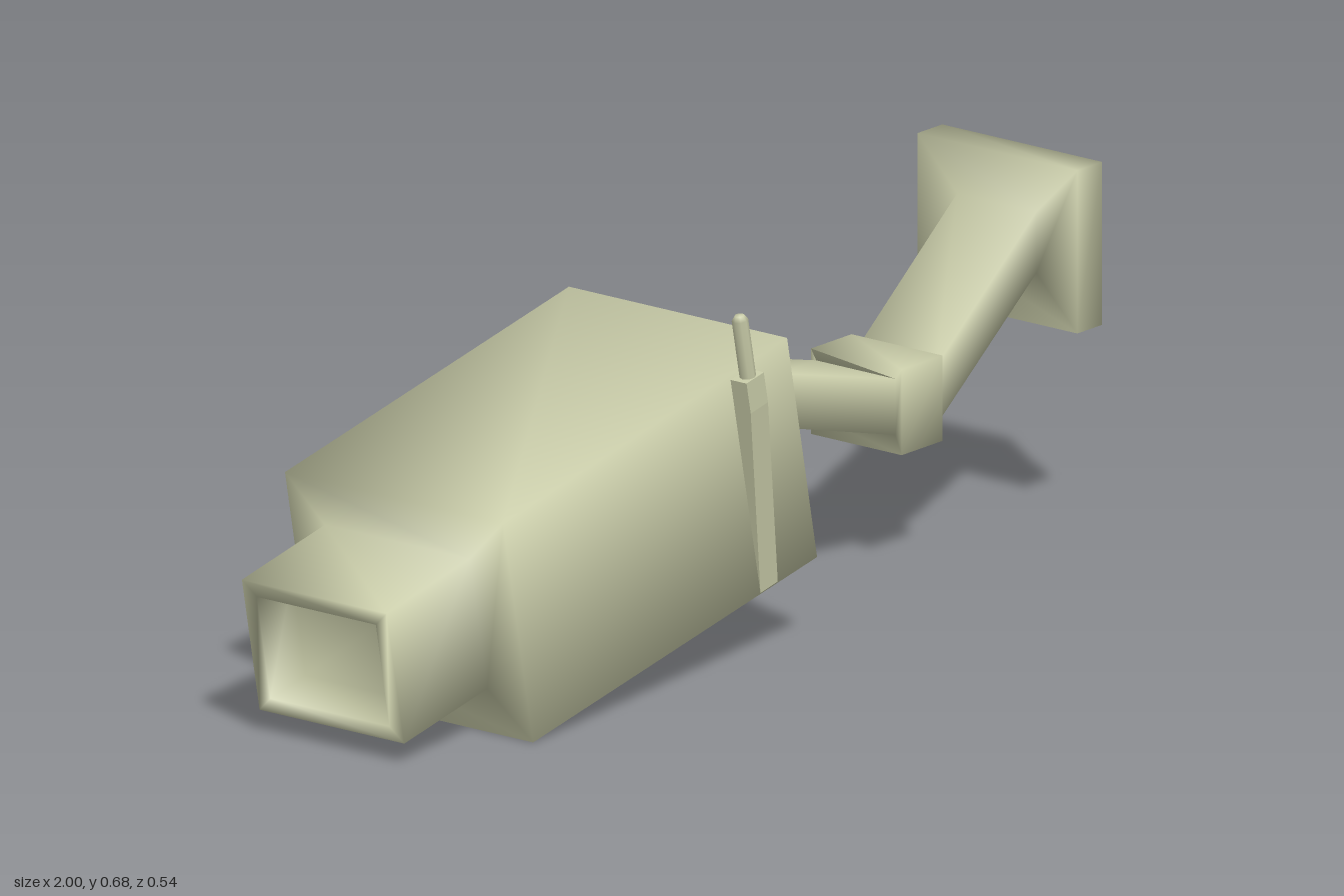
import * as THREE from 'three';

const material = new THREE.MeshStandardMaterial({ color: 0xc8cba8 });

// Four-cornered cross-section: top point, bottom point, back z, front z
const section = (tx, ty, bx, by, z0, z1) => [[tx, ty, z1], [tx, ty, z0], [bx, by, z0], [bx, by, z1]];

// Smooth-shaded skin through consecutive cross-sections, capped at both ends
function loft(name, sections) {
  const index = [0, 1, 2, 0, 2, 3];
  for (let i = 0; i < sections.length - 1; i++) {
    for (let j = 0; j < 4; j++) {
      const a = i * 4 + j, b = i * 4 + (j + 1) % 4;
      index.push(a, a + 4, b + 4, a, b + 4, b);
    }
  }
  const e = (sections.length - 1) * 4;
  index.push(e, e + 2, e + 1, e, e + 3, e + 2);
  const geometry = new THREE.BufferGeometry();
  geometry.setAttribute('position', new THREE.Float32BufferAttribute(sections.flat(2), 3));
  geometry.setIndex(index);
  geometry.computeVertexNormals();
  const mesh = new THREE.Mesh(geometry, material);
  mesh.name = name;
  return mesh;
}

export function createModel() {
  const model = new THREE.Group();
  model.name = 'wallCamera';

  // Housing: recessed lens opening, lens hood, tilted box and tapered neck
  model.add(loft('housing', [
    section(-0.894, 0.292, -0.856, 0.093, -0.16, 0.115),
    section(-0.994, 0.272, -0.956, 0.073, -0.16, 0.115),
    section(-1.0, 0.30, -0.95, 0.045, -0.19, 0.145),
    section(-0.765, 0.348, -0.715, 0.093, -0.19, 0.145),
    section(-0.78, 0.435, -0.695, 0.005, -0.27, 0.235),
    section(0.025, 0.595, 0.11, 0.165, -0.27, 0.235),
    section(0.038, 0.53, 0.097, 0.23, -0.205, 0.17),
    section(0.195, 0.458, 0.21, 0.353, -0.11, 0.073),
  ]));

  // Wall bracket: arm, knuckle joint, second arm and mounting plate
  model.add(loft('bracketArm', [
    section(0.195, 0.458, 0.21, 0.353, -0.11, 0.073),
    section(0.53, 0.37, 0.53, 0.265, -0.11, 0.073),
    section(0.53, 0.39, 0.53, 0.23, -0.122, 0.088),
    section(0.645, 0.39, 0.645, 0.23, -0.122, 0.088),
    section(0.645, 0.365, 0.645, 0.255, -0.11, 0.073),
    section(0.93, 0.59, 0.93, 0.475, -0.11, 0.073),
    section(0.93, 0.685, 0.93, 0.38, -0.202, 0.168),
    section(1.0, 0.685, 1.0, 0.38, -0.202, 0.168),
    section(1.0, 0.6, 1.0, 0.46, -0.11, 0.075),
  ]));

  // Aerial on the front side: wedge-shaped holder with a thin rod
  const aerial = new THREE.Group();
  aerial.name = 'aerial';
  const profile = new THREE.Shape([[0.22, 0], [0.235, 0], [0.272, 0.367], [0.272, 0.427], [0.22, 0.427]]
    .map(([x, y]) => new THREE.Vector2(x, y)));
  const wedge = new THREE.ExtrudeGeometry(profile, { depth: 0.05, bevelEnabled: false });
  wedge.rotateY(-Math.PI / 2).translate(0.025, 0, 0);
  const holder = new THREE.Mesh(wedge, material);
  holder.name = 'aerialHolder';
  const rod = new THREE.Mesh(new THREE.LatheGeometry(
    [[0.015, 0.41], [0.015, 0.54], [0.009, 0.549], [0, 0.55]].map(([x, y]) => new THREE.Vector2(x, y)), 8), material);
  rod.name = 'aerialRod';
  rod.position.z = 0.255;
  aerial.add(holder, rod);
  aerial.position.set(-0.026, 0.14, 0);
  aerial.rotation.z = 0.2;
  model.add(aerial);

  return model;
}
